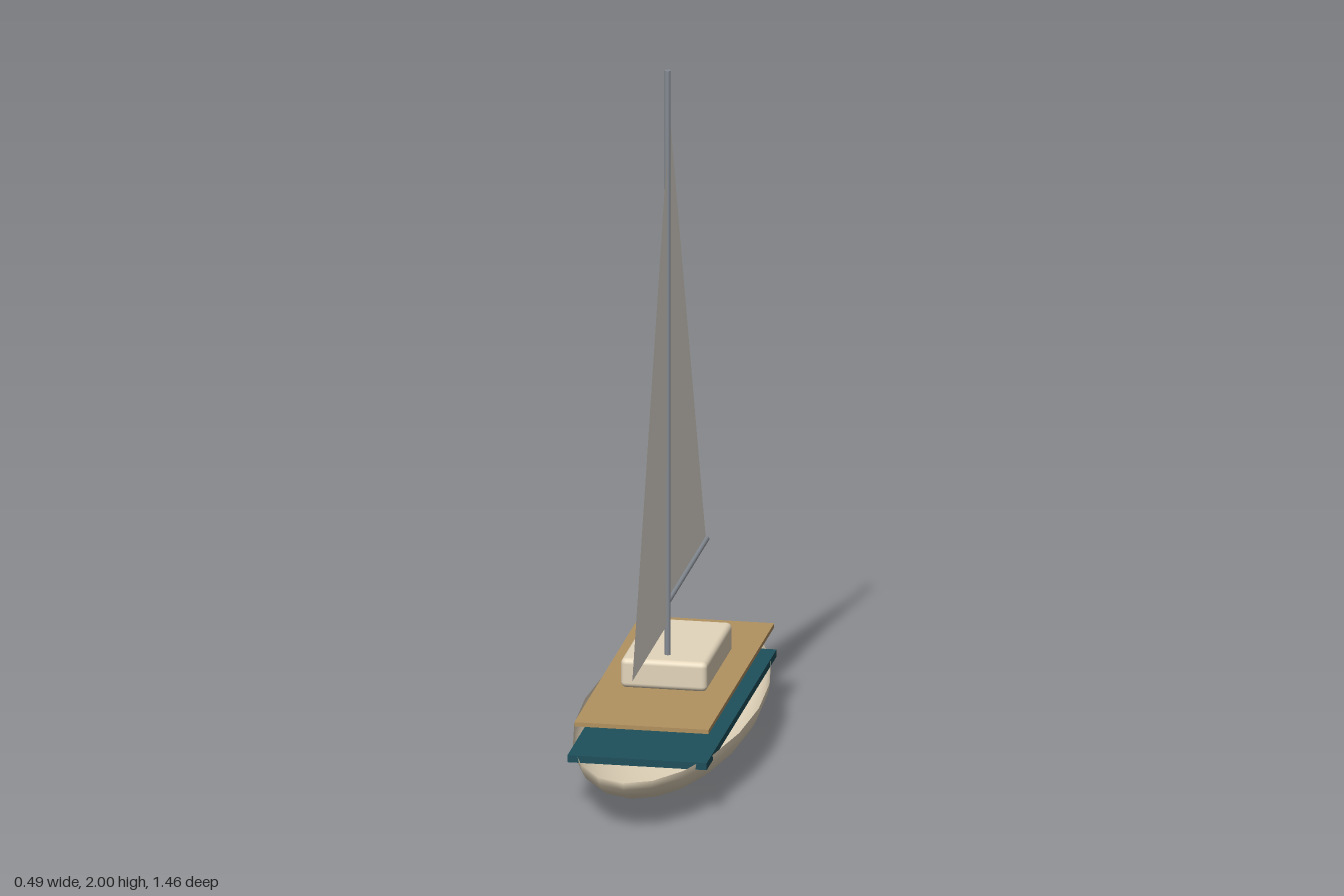
import * as THREE from 'three';
import { RoundedBoxGeometry } from 'three/addons/geometries/RoundedBoxGeometry.js';

const material = (color, side = THREE.FrontSide) => new THREE.MeshStandardMaterial({ color, side });

export function createModel() {
  const model = new THREE.Group();
  const cream = 0xe4d6bc;
  const metal = material(0x868c94);
  const sailCloth = material(0xeee9df, THREE.DoubleSide);

  const add = (name, geometry, mat, x = 0, y = 0, z = 0) => {
    const mesh = new THREE.Mesh(geometry, mat);
    mesh.name = name;
    mesh.position.set(x, y, z);
    model.add(mesh);
    return mesh;
  };

  // Hull: open lower half of a stretched sphere
  const hull = new THREE.SphereGeometry(1, 20, 10, 0, Math.PI * 2, Math.PI / 2, Math.PI / 2);
  hull.scale(0.243, 0.15, 0.73);
  add('hull', hull, material(cream, THREE.DoubleSide), 0, 0.15, 0);

  // Slab across the rim, and the deck floating above it
  add('rimSlab', new THREE.BoxGeometry(0.39, 0.02, 1.04), material(0x1d4f5b), 0, 0.143, 0);
  add('deck', new THREE.BoxGeometry(0.376, 0.012, 0.975), material(0xb29260), 0, 0.222, -0.034);

  // Cabin
  add('cabin', new RoundedBoxGeometry(0.242, 0.084, 0.386, 3, 0.015), material(cream), 0, 0.27, -0.065);

  // Mast and boom
  add('mast', new THREE.CylinderGeometry(0.0085, 0.0085, 1.787, 12), metal, 0, 1.1065, 0.064);
  const boom = add('boom', new THREE.CylinderGeometry(0.007, 0.007, 0.582, 10), metal, 0, 0.462, -0.229);
  boom.rotation.x = Math.PI / 2;

  // Sails: flat triangles in the centre plane, corners given as (z, y)
  const addSail = (name, corners) => {
    const shape = new THREE.Shape(corners.map(([z, y]) => new THREE.Vector2(-z, y)));
    add(name, new THREE.ShapeGeometry(shape).rotateY(Math.PI / 2), sailCloth);
  };
  addSail('mainSail', [[0.06, 1.93], [0.06, 0.475], [-0.5, 0.475]]);
  addSail('jib', [[0.07, 1.77], [0.59, 0.4], [0.082, 0.4]]);

  return model;
}
